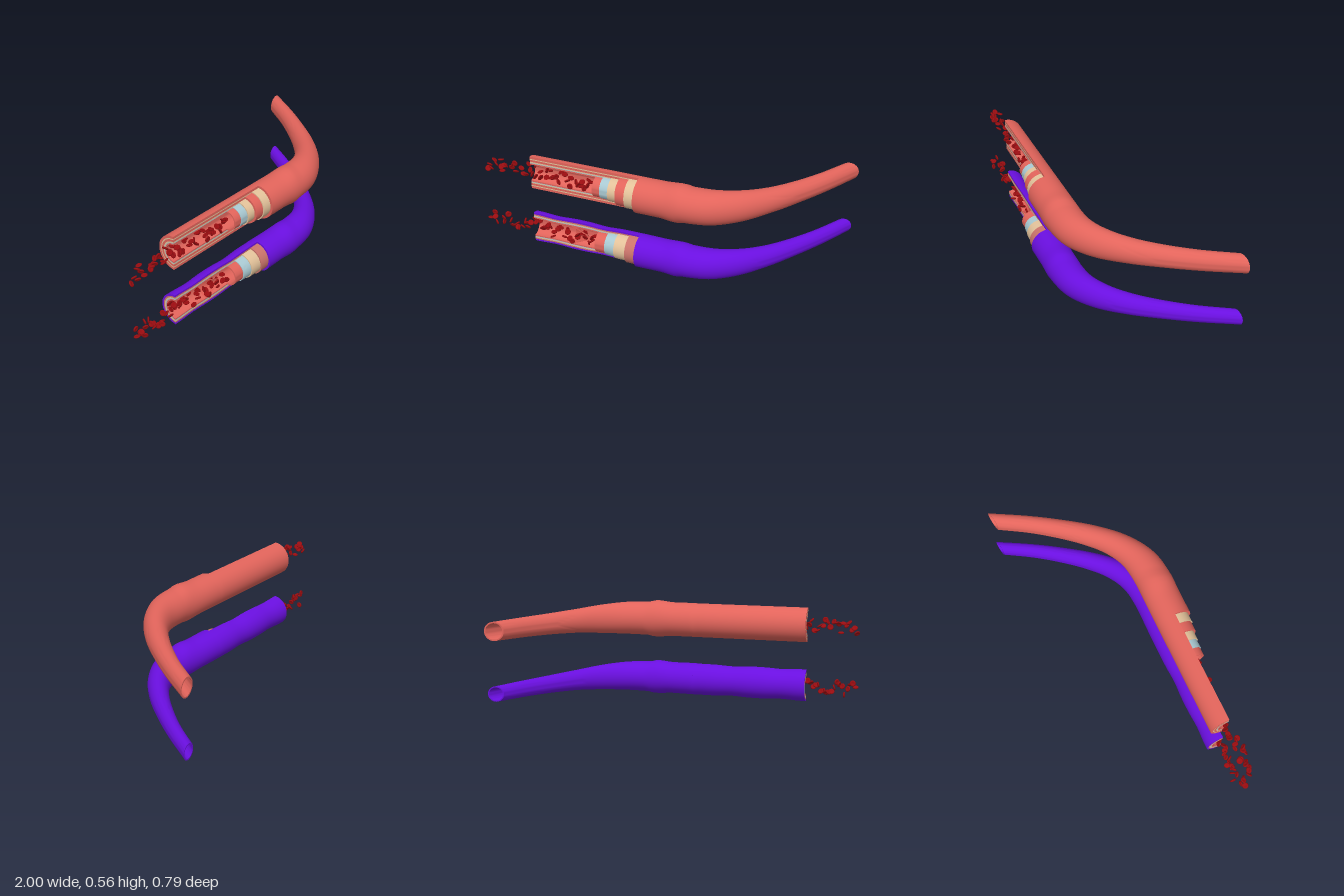
import * as THREE from 'three';
import { toCreasedNormals } from 'three/addons/utils/BufferGeometryUtils.js';

const mat = (name, color, side = THREE.FrontSide) => {
  const m = new THREE.MeshStandardMaterial({ color, side });
  m.name = name;
  return m;
};
const AXIS_Z = 0.29, CUT_X = -0.04, LEFT_X = -0.7;

// Matching points along the inner and outer side of the bend, plus half height
const rings = [
  // inner x, z, outer x, z, half height
  [-0.04, 0.19, -0.04, 0.39, 0.1],
  [0.1, 0.19, 0.1, 0.39, 0.1],
  [0.27, 0.19, 0.22, 0.392, 0.1],
  [0.4, 0.17, 0.37, 0.367, 0.096],
  [0.51, 0.11, 0.52, 0.28, 0.085],
  [0.61, 0.015, 0.66, 0.14, 0.07],
  [0.71, -0.105, 0.79, -0.04, 0.061],
  [0.8, -0.23, 0.89, -0.2, 0.057],
  [0.89, -0.38, 1.0, -0.4, 0.054],
];

// Hollow bent tube: outer skin out to the tip, then inner skin back again
function bentTube(startScale, endScale) {
  const curve = (f) => new THREE.CatmullRomCurve3(rings.map(f));
  const inner = curve(r => new THREE.Vector3(r[0], 0, r[1]));
  const outer = curve(r => new THREE.Vector3(r[2], 0, r[3]));
  const height = curve(r => new THREE.Vector3(r[4], 0, 0));
  const N = 40, S = 40, pos = [], idx = [], rows = [];
  for (let i = 0; i <= N; i++) rows.push([i / N, 1]);
  for (let i = N; i >= 0; i--) rows.push([i / N, 0.86]);
  for (const [t, wall] of rows) {
    const a = inner.getPoint(t), b = outer.getPoint(t), h = height.getPoint(t).x;
    const k = wall * THREE.MathUtils.lerp(startScale, endScale, t);
    const c = a.clone().add(b).multiplyScalar(0.5), d = b.sub(a).multiplyScalar(0.5 * k);
    for (let j = 0; j < S; j++) {
      const q = j / S * Math.PI * 2;
      pos.push(c.x + d.x * Math.cos(q), h * k * Math.sin(q), c.z + d.z * Math.cos(q));
    }
  }
  const R = rows.length;
  for (let i = 0; i < R; i++) for (let j = 0; j < S; j++) {
    const n = (i + 1) % R, k = (j + 1) % S;
    const a = i * S + j, b = n * S + j, c = i * S + k, d = n * S + k;
    idx.push(a, b, c, b, d, c);
  }
  const g = new THREE.BufferGeometry();
  g.setAttribute('position', new THREE.Float32BufferAttribute(pos, 3));
  g.setIndex(idx);
  return toCreasedNormals(g, 0.8);
}

// Half of a thick pipe along x, with its radius scaled along the length by swell(x)
function halfShell(rIn, rOut, x0, x1, front, swell) {
  const a0 = front ? Math.PI / 2 : -Math.PI / 2, a1 = a0 + Math.PI;
  const s = new THREE.Shape();
  s.absarc(0, 0, rOut, a0, a1, false);
  s.absarc(0, 0, rIn, a1, a0, true);
  const g = new THREE.ExtrudeGeometry(s, { depth: x1 - x0, steps: 20, curveSegments: 10, bevelEnabled: false });
  g.rotateY(Math.PI / 2).translate(x0, 0, 0);
  const p = g.attributes.position;
  for (let i = 0; i < p.count; i++) {
    const k = swell(p.getX(i));
    p.setXYZ(i, p.getX(i), p.getY(i) * k, p.getZ(i) * k);
  }
  return toCreasedNormals(g, 0.6);
}

// Small dished disc
function cellGeometry() {
  const profile = [[0, -0.002], [0.006, -0.0025], [0.012, -0.005], [0.016, -0.003], [0.0175, 0],
    [0.016, 0.003], [0.012, 0.005], [0.006, 0.0025], [0, 0.002]];
  return new THREE.LatheGeometry(profile.map(p => new THREE.Vector2(...p)), 14);
}

export function createModel() {
  const model = new THREE.Group();
  const red = mat('artery red', 0xe2645b);
  const purple = mat('vein purple', 0x6a0fe0);
  const tan = mat('elastic tan', 0xe3c29a);
  const blue = mat('pale blue', 0xa9c9d2);
  const muted = mat('muted red', 0xcb746b);
  const blood = mat('blood red', 0x990c10);
  const flap = mat('valve red', 0xd8584f, THREE.DoubleSide);

  let seed = 11;
  const rand = (a, b) => {
    seed = (seed * 16807) % 2147483647;
    return a + (b - a) * seed / 2147483647;
  };
  const add = (group, name, geometry, material) => {
    const m = new THREE.Mesh(geometry, material);
    m.name = name;
    group.add(m);
    return m;
  };
  const cell = cellGeometry();

  function vessel(name, y, lumen, layers, skin, radius, scales, swell) {
    const group = new THREE.Group();
    group.name = name;
    group.position.y = y;
    add(group, 'bentTube', bentTube(...scales), skin);

    // Nested wall layers: full length behind, stepped back in front
    const wall = new THREE.Group();
    wall.name = 'wallLayers';
    wall.position.z = AXIS_Z;
    let r = lumen;
    for (const [label, rOut, x, material] of layers) {
      add(wall, label + 'Back', halfShell(r, rOut, LEFT_X, CUT_X, false, swell), material);
      add(wall, label + 'Front', halfShell(r, rOut, x, CUT_X, true, swell), material);
      r = rOut;
    }
    add(wall, 'outerCoatBack', halfShell(r, radius, LEFT_X, CUT_X, false, swell), skin);
    group.add(wall);

    // Blood cells, spread evenly along the lumen and spilling out of the open end
    const cells = new THREE.Group();
    cells.name = 'bloodCells';
    const COUNT = 46;
    for (let i = 0; i < COUNT; i++) {
      const c = add(cells, 'bloodCell', cell, blood);
      const x = -0.983 + 0.68 * i / (COUNT - 1);
      c.position.set(x, rand(-0.036, 0.038), AXIS_Z + rand(-0.036, 0.018));
      c.rotation.set(rand(0, 3.1), rand(0, 3.1), rand(0, 3.1));
    }
    group.add(cells);
    model.add(group);
    return group;
  }

  vessel('artery', 0.45, 0.05, [
    ['innerLining', 0.058, -0.295, red],
    ['blueLayer', 0.062, -0.25, blue],
    ['innerElastic', 0.068, -0.2, tan],
    ['muscle', 0.08, -0.15, red],
    ['outerElastic', 0.086, -0.095, tan],
  ], red, 0.1, [1, 1], () => 1);

  const dip = (x, c) => 0.06 * Math.exp(-(((x - c) / 0.07) ** 2));
  const vein = vessel('vein', 0.0945, 0.056, [
    ['innerLining', 0.064, -0.29, red],
    ['blueLayer', 0.069, -0.23, blue],
    ['elastic', 0.075, -0.17, tan],
    ['muscle', 0.083, -0.1, muted],
  ], purple, 0.0935, [0.94, 0.82], x => 1 - dip(x, -0.56) - dip(x, -0.26));

  // Valve flaps funnelling in from the vein wall
  const pts = [[0.057, -0.47], [0.05, -0.44], [0.036, -0.41], [0.024, -0.385], [0.018, -0.36]];
  const valve = new THREE.LatheGeometry(pts.map(p => new THREE.Vector2(...p)), 24, Math.PI / 2, Math.PI);
  valve.rotateZ(-Math.PI / 2).translate(0, 0, AXIS_Z);
  add(vein, 'valve', valve, flap);

  return model;
}
